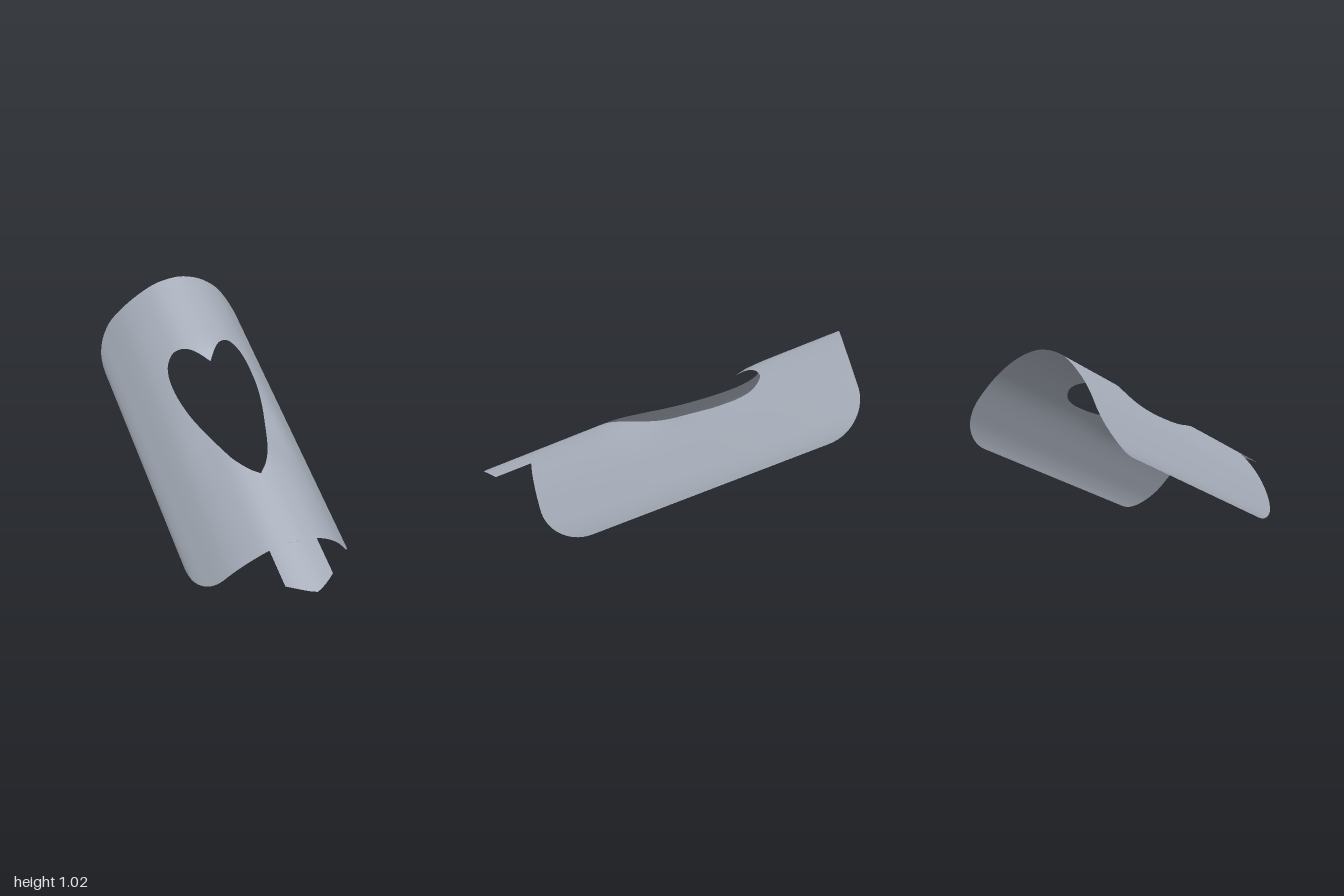
import * as THREE from 'three';
import { mergeGeometries } from 'three/addons/utils/BufferGeometryUtils.js';

const TILT = Math.atan(0.41), SIN = Math.sin(TILT), COS = Math.cos(TILT);
const FRONT = -0.54, BACK = 1.219, RADIUS = 0.225;
const V2 = (p) => new THREE.Vector2(p[0], p[1]);

// Arched cross-section (x, height above the tilted base plane)
const section = new THREE.SplineCurve([
  [-0.448, 0.18], [-0.437, 0.212], [-0.4, 0.275], [-0.3, 0.418], [-0.2, 0.516], [-0.1, 0.581], [0.01, 0.602],
  [0.1, 0.584], [0.2, 0.527], [0.3, 0.425], [0.4, 0.262], [0.435, 0.19], [0.45, 0.143],
].map(V2));
section.arcLengthDivisions = 1000;
const LENGTH = section.getLength();

// Arc parameter at a given x
function tAt(x) {
  let a = 0, b = 1;
  for (let i = 0; i < 40; i++) {
    const m = (a + b) / 2;
    if (section.getPointAt(m).x < x) a = m; else b = m;
  }
  return (a + b) / 2;
}

// Point on the sheet: t across the arch, u along the tilted axis towards the back
function surface(t, u) {
  const p = section.getPointAt(THREE.MathUtils.clamp(t, 0, 1));
  const bump = (x, w, c, l) => Math.exp(-(((p.x - x) / w) ** 2) - ((u - c) / l) ** 2);
  const v = p.y - 0.02 * bump(0.01, 0.07, 0.6, 0.1)
    - 0.025 * bump(0.17, 0.09, 0.18, 0.2) - 0.01 * bump(-0.17, 0.09, 0.18, 0.2);
  return new THREE.Vector3(p.x, u * SIN + v * COS, v * SIN - u * COS);
}

function normalAt(t, u) {
  const e = 0.003, a = Math.max(t - e, 0), b = Math.min(t + e, 1);
  const dx = surface(b, u).sub(surface(a, u));
  const du = surface(t, u + e).sub(surface(t, u - e));
  return dx.cross(du).normalize();
}

// Curved panel between t0 and t1, bounded by lo(t) and hi(t) along the axis
function panel(t0, t1, lo, hi, cols = 28, rows = 24) {
  const pos = [], nor = [], index = [];
  for (let i = 0; i <= cols; i++) {
    const t = t0 + (t1 - t0) * (1 - Math.cos(Math.PI * i / cols)) / 2;
    const a = lo(t), b = hi(t);
    for (let j = 0; j <= rows; j++) {
      const u = a + (b - a) * j / rows;
      pos.push(...surface(t, u).toArray());
      nor.push(...normalAt(t, u).toArray());
      if (i < cols && j < rows) {
        const k = i * (rows + 1) + j, n = k + rows + 1;
        index.push(k, n, k + 1, n, n + 1, k + 1);
      }
    }
  }
  const g = new THREE.BufferGeometry();
  g.setAttribute('position', new THREE.Float32BufferAttribute(pos, 3));
  g.setAttribute('normal', new THREE.Float32BufferAttribute(nor, 3));
  g.setIndex(index);
  return g;
}

// Heart outline as plan (x, z) runs, converted to axis distance at each t
const run = (pts) => new THREE.SplineCurve(pts.map(V2)).getPoints(150);
const heartBack = [
  ...run([[-0.222, -0.36], [-0.217, -0.41], [-0.2, -0.46], [-0.158, -0.49], [-0.1, -0.47], [-0.05, -0.425], [0.01, -0.352]]),
  ...run([[0.01, -0.352], [0.07, -0.43], [0.12, -0.474], [0.175, -0.492], [0.22, -0.46], [0.236, -0.41], [0.24, -0.36]]),
];
const heartFront = [
  ...run([[-0.222, -0.36], [-0.219, -0.27], [-0.2, -0.14], [-0.165, 0], [-0.13, 0.12], [-0.1, 0.21], [-0.05, 0.295], [0, 0.342]]),
  ...run([[0, 0.342], [0.05, 0.29], [0.1, 0.205], [0.15, 0.08], [0.2, -0.08], [0.233, -0.24], [0.24, -0.36]]),
];
function along(line) {
  return (t) => {
    const p = section.getPointAt(t);
    let z = p.x <= line[0].x ? line[0].y : line[line.length - 1].y;
    for (let i = 1; i < line.length; i++) {
      const a = line[i - 1], b = line[i];
      if (p.x >= a.x && p.x <= b.x && b.x > a.x) {
        z = a.y + (b.y - a.y) * (p.x - a.x) / (b.x - a.x);
        break;
      }
    }
    return (p.y * SIN - z) / COS;
  };
}

// Outer edges with rounded corners
function inset(t) {
  const d = Math.min(t, 1 - t) * LENGTH;
  return d >= RADIUS ? 0 : RADIUS - Math.sqrt(Math.max(0, RADIUS ** 2 - (RADIUS - d) ** 2));
}
const frontEdge = (t) => FRONT + inset(t);
const backEdge = (t) => BACK - 0.021 * (section.getPointAt(t).x / 0.4) ** 2 - inset(t);
const tabEdge = (t) => -0.834 + 0.087 * (Math.abs(section.getPointAt(t).x - 0.013) / 0.132) ** 1.3;

export function createModel() {
  const group = new THREE.Group();
  const material = new THREE.MeshStandardMaterial({ color: 0xa6adb9, side: THREE.DoubleSide });
  material.name = 'blue grey sheet';
  const add = (name, geometry) => {
    const mesh = new THREE.Mesh(geometry, material);
    mesh.name = name;
    group.add(mesh);
  };

  // Arched shell, split at the sides, dip and tip of the heart opening
  const heartLo = along(heartFront), heartHi = along(heartBack);
  const cuts = (xs) => [0, ...xs.map(tAt), 1];
  const strips = (ts, lo, hi) => mergeGeometries(
    ts.slice(1).map((t, i) => panel(ts[i], t, lo, hi)));
  add('frontShell', strips(cuts([-0.222, 0, 0.24]), frontEdge, heartLo));
  add('backShell', strips(cuts([-0.222, 0.01, 0.24]), heartHi, backEdge));

  // Narrow tongue at the front
  add('frontTab', panel(tAt(-0.119), tAt(0.145), tabEdge, () => FRONT, 20, 8));
  return group;
}
